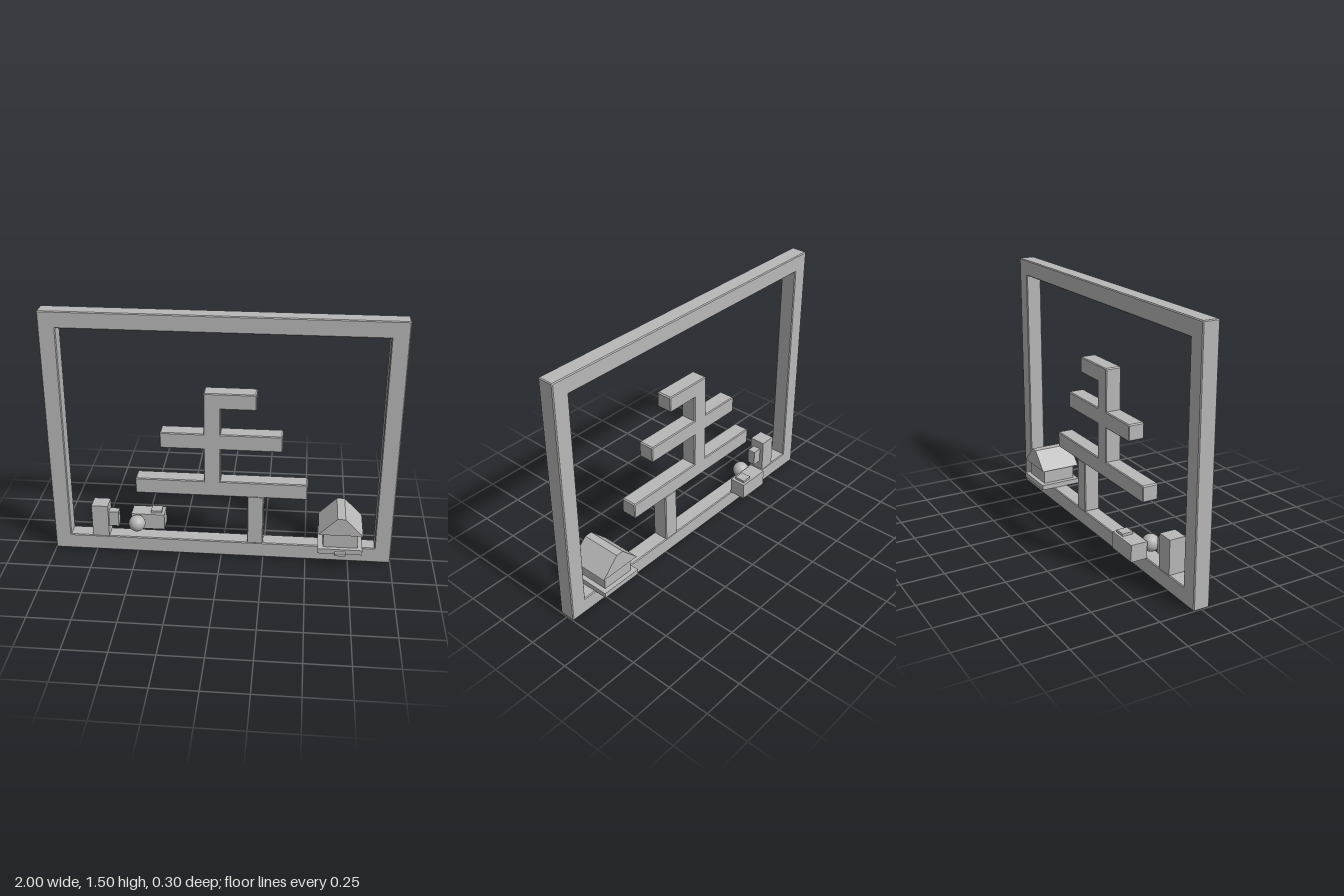
import * as THREE from 'three';

const DEPTH = 0.096; // thickness of the frame and tree
const BEVEL = 0.005;

export function createModel() {
  const model = new THREE.Group();
  model.name = 'framedTreeOrnament';
  const grey = new THREE.MeshStandardMaterial({ color: 0xb8b8b8 });
  grey.name = 'plain grey';

  function add(name, geometry, parent = model) {
    const mesh = new THREE.Mesh(geometry, grey);
    mesh.name = name;
    parent.add(mesh);
    return mesh;
  }

  function group(name) {
    const g = new THREE.Group();
    g.name = name;
    model.add(g);
    return g;
  }

  // Box given by its limits on each axis
  function box(name, x0, x1, y0, y1, z0, z1, parent) {
    const mesh = add(name, new THREE.BoxGeometry(x1 - x0, y1 - y0, z1 - z0), parent);
    mesh.position.set((x0 + x1) / 2, (y0 + y1) / 2, (z0 + z1) / 2);
  }

  // Rectangle outline with clipped corners
  function outline(target, x0, x1, y0, y1, c) {
    target.setFromPoints([
      [x0 + c, y0], [x1 - c, y0], [x1, y0 + c], [x1, y1 - c],
      [x1 - c, y1], [x0 + c, y1], [x0, y1 - c], [x0, y0 + c],
    ].map(([x, y]) => new THREE.Vector2(x, y)));
    return target;
  }

  // Extrusion centred on z = 0 with softly bevelled edges
  function bevelled(shape) {
    const g = new THREE.ExtrudeGeometry(shape, {
      depth: DEPTH - 2 * BEVEL, bevelEnabled: true, bevelSegments: 1,
      bevelSize: BEVEL, bevelThickness: BEVEL,
    });
    return g.translate(0, 0, -DEPTH / 2 + BEVEL);
  }

  function bar(name, x0, x1, y0, y1, parent) {
    const b = BEVEL;
    add(name, bevelled(outline(new THREE.Shape(), x0 + b, x1 - b, y0 + b, y1 - b, 0.004)), parent);
  }

  // Square picture frame
  const frame = outline(new THREE.Shape(), -1 + BEVEL, 1 - BEVEL, BEVEL, 1.5 - BEVEL, 0.002);
  frame.holes.push(outline(new THREE.Path(), -0.903 - BEVEL, 0.903 + BEVEL, 0.097 - BEVEL, 1.403 + BEVEL, 0.002));
  add('frame', bevelled(frame));

  // Stylised tree of crossing bars
  const tree = group('tree');
  bar('trunk', 0.153, 0.248, 0.092, 0.41, tree);
  bar('stem', -0.1, -0.004, 0.49, 1.05, tree);
  bar('lowerBranch', -0.5, 0.498, 0.403, 0.5, tree);
  bar('middleBranch', -0.35, 0.348, 0.703, 0.8, tree);
  bar('topBranch', -0.1, 0.198, 0.955, 1.05, tree);

  // House with a flat-topped gable roof
  const house = group('house');
  box('housePlinth', 0.57, 0.828, 0.097, 0.128, -0.128, 0.128, house);
  box('houseWalls', 0.6, 0.8, 0.128, 0.22, -0.1, 0.103, house);
  box('doorStep', 0.667, 0.732, 0.097, 0.113, 0.1, 0.15, house);
  const gable = new THREE.Shape([[0.57, 0.22], [0.828, 0.22], [0.722, 0.328], [0.676, 0.328]]
    .map(([x, y]) => new THREE.Vector2(x, y)));
  add('roof', new THREE.ExtrudeGeometry(gable, { depth: 0.245, bevelEnabled: false })
    .translate(0, 0, -0.1225), house);

  // Upright block with a smaller block on its side
  const post = group('uprightBlock');
  box('blockBody', -0.77, -0.672, 0.097, 0.3, -0.048, 0.048, post);
  box('blockSide', -0.672, -0.615, 0.155, 0.25, -0.025, 0.025, post);

  // Low block behind the frame with a small cap
  const low = group('lowBlock');
  box('lowBlockBody', -0.552, -0.352, 0.1, 0.2, -0.148, -0.048, low);
  box('lowBlockCap', -0.435, -0.37, 0.2, 0.215, -0.133, -0.068, low);

  // Ball
  add('ball', new THREE.SphereGeometry(0.05, 32, 20)).position.set(-0.51, 0.165, 0);

  return model;
}
